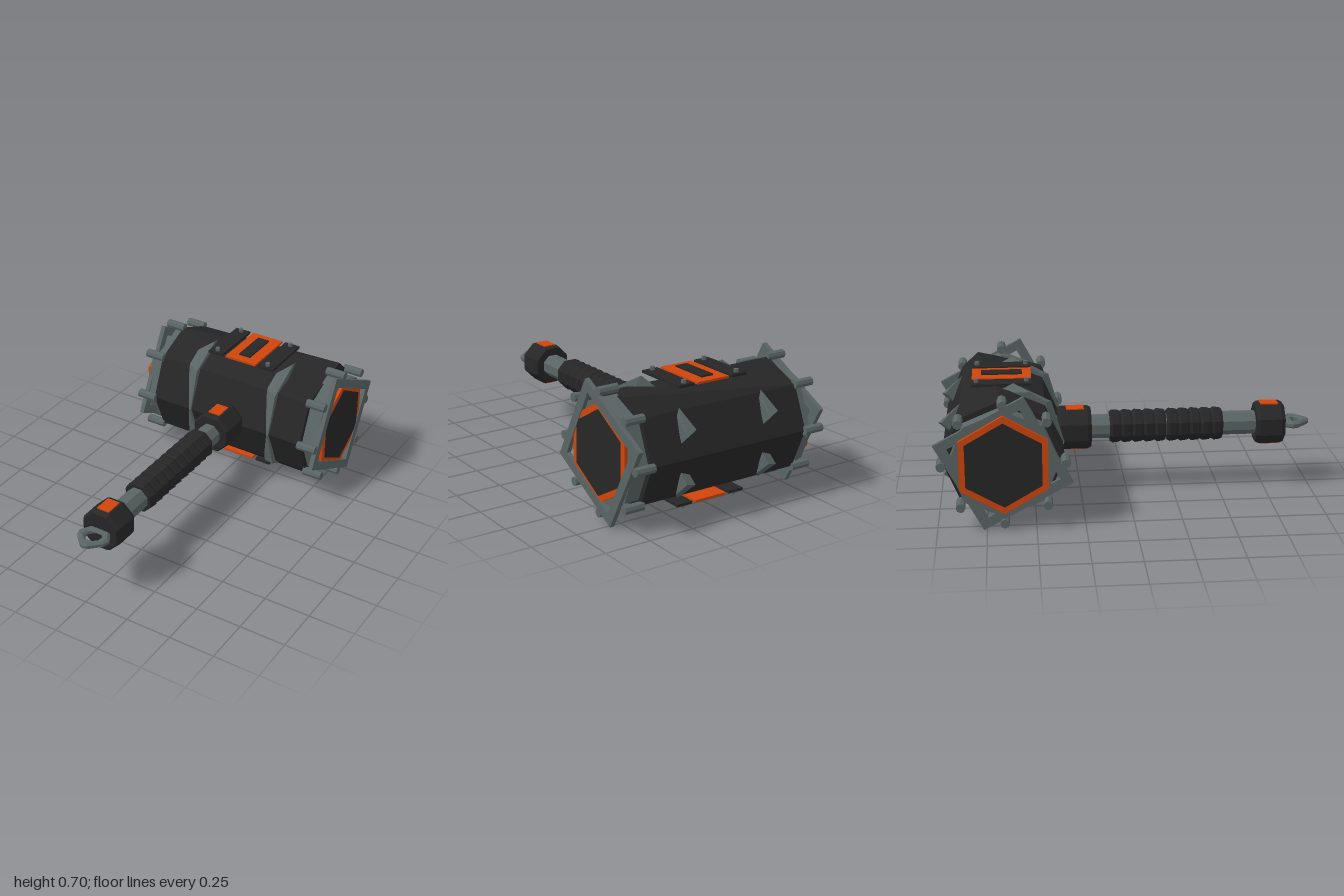
import * as THREE from 'three';
import { ConvexGeometry } from 'three/addons/geometries/ConvexGeometry.js';

const CY = 0.352, CZ = -0.66; // centre line of the head

export function createModel() {
  const model = new THREE.Group();
  model.name = 'warHammer';
  const material = (name, color) => {
    const m = new THREE.MeshStandardMaterial({ color, flatShading: true });
    m.name = name;
    return m;
  };
  const black = material('black iron', 0x262626);
  const steel = material('grey steel', 0x5a6464);
  const orange = material('orange enamel', 0xd0450c);

  const add = (name, geometry, mat, x = 0, y = 0, z = 0) => {
    const mesh = new THREE.Mesh(geometry, mat);
    mesh.name = name;
    mesh.position.set(x, y, z);
    model.add(mesh);
    return mesh;
  };
  const box = (name, mat, w, h, d, x, y, z) => add(name, new THREE.BoxGeometry(w, h, d), mat, x, y, z);

  // Regular polygon corners, phase in degrees
  const ngon = (r, n, phase) => Array.from({ length: n }, (_, i) => {
    const a = THREE.MathUtils.degToRad(phase) + (i / n) * Math.PI * 2;
    return new THREE.Vector2(r * Math.cos(a), r * Math.sin(a));
  });
  // Polygon plate or ring across the head's axis, from x0 to x1
  const plateX = (name, mat, r, n, phase, x0, x1, hole = 0) => {
    const shape = new THREE.Shape(ngon(r, n, phase));
    if (hole) shape.holes.push(new THREE.Path(ngon(hole, n, phase)));
    const g = new THREE.ExtrudeGeometry(shape, { depth: Math.abs(x1 - x0), bevelEnabled: false });
    g.rotateY(Math.PI / 2);
    return add(name, g, mat, Math.min(x0, x1), CY, CZ);
  };
  // Faceted turned part along z; profile is [radius, z] pairs
  const turnedZ = (name, mat, profile, sides = 8) => {
    const pts = profile.map(([r, z]) => new THREE.Vector2(r, z));
    const g = new THREE.LatheGeometry(pts, sides, Math.PI / sides).rotateX(Math.PI / 2);
    return add(name, g, mat, 0, CY, 0);
  };

  // Head: eight-sided block, ridges slightly skewed at one end
  const corners = [];
  for (const x of [-0.47, 0.47]) {
    ngon(0.31, 8, 0).forEach((p, i) => {
      const skew = x > 0 && i % 4 === 2;
      const s = Math.sign(p.y);
      corners.push(skew ? new THREE.Vector3(x, 0.3 * s, -0.13 * s) : new THREE.Vector3(x, p.y, p.x));
    });
  }
  add('headBlock', new ConvexGeometry(corners), black, 0, CY, CZ);

  // Striking ends: steel collar, pegs, square frame, orange rim, black face
  for (const s of [-1, 1]) {
    const frameOut = s > 0 ? 0.572 : 0.55;
    plateX('endCollar', steel, 0.28, 8, 0, s * 0.46, s * 0.55);
    plateX('squareFrame', steel, 0.364, 4, 107, s * (frameOut - 0.025), s * frameOut, 0.295);
    plateX('orangeRim', orange, 0.258, 6, 90, s * 0.54, s * 0.567, 0.2);
    plateX('strikingFace', black, 0.222, 6, 90, s * 0.54, s * 0.57);
    for (const p of ngon(0.311, 8, 0)) {
      const peg = new THREE.CylinderGeometry(0.024, 0.024, 0.11, 8).rotateZ(Math.PI / 2);
      add('endPeg', peg, steel, s * 0.515, CY + p.y, CZ + p.x);
    }
  }

  // Steel spines hugging the front and back of the head
  const spine = (name, x, points, flip) => {
    const g = new ConvexGeometry(points.map(([px, py, pz]) => new THREE.Vector3(px, py * flip, pz)));
    add(name, g, steel, x, CY, CZ);
  };
  const frontSpine = [
    [0.028, 0, 0.318], [0.018, 0, 0.318], [0.03, 0, 0.28],
    [0.03, 0.22, 0.255], [-0.035, 0.235, 0.225], [-0.035, 0.17, 0.235],
    [0.03, 0.322, 0.06], [-0.03, 0.29, 0.14], [0.0, 0.28, -0.04],
  ];
  const backSpine = [
    [0.03, 0.07, -0.275], [-0.03, 0.09, -0.26], [0.03, 0.12, -0.33],
    [-0.035, 0.14, -0.31], [0.0, 0.23, -0.215], [0.03, 0.2, -0.24],
  ];
  for (const x of [-0.25, 0.25]) {
    for (const flip of [-1, 1]) {
      spine('frontSpine', x, frontSpine, flip);
      spine('backSpine', x, backSpine, flip);
    }
  }

  // Ornament plates above and below the head
  for (const s of [-1, 1]) {
    const at = (h) => CY + s * h;
    box('orangePlate', orange, 0.19, 0.012, 0.31, 0, at(0.307), CZ);
    box('plateInset', black, 0.07, 0.008, 0.215, 0, at(0.318), CZ);
    for (const side of [-1, 1]) {
      box('sidePlate', black, 0.09, 0.014, 0.31, side * 0.16, at(0.307), CZ);
      for (const dz of [-0.13, 0.13]) {
        add('plateBolt', new THREE.CylinderGeometry(0.013, 0.013, 0.024, 6), steel, side * 0.16, at(0.32), CZ + dz);
      }
    }
  }

  // Handle: steel shaft with ribbed grips
  turnedZ('shaft', steel, [[0, -0.4], [0.064, -0.4], [0.064, 0.75], [0, 0.75]]);
  for (const start of [-0.09, 0.218]) {
    const profile = [[0.05, start]];
    const ribs = 5, step = 0.302 / ribs;
    for (let i = 0; i < ribs; i++) {
      const z = start + i * step;
      profile.push([0.08, z], [0.09, z + step * 0.25], [0.086, z + step * 0.8], [0.08, z + step]);
    }
    profile.push([0.05, start + 0.302]);
    turnedZ('grip', black, profile);
  }

  // Collar at the head and pommel, each with orange inlays
  for (const [name, z0, z1] of [['headSocket', -0.37, -0.19], ['pommel', 0.7, 0.855]]) {
    turnedZ(name, black, [
      [0, z0], [0.107, z0], [0.117, z0 + 0.02], [0.117, z1 - 0.02], [0.107, z1], [0, z1],
    ]);
    const mid = name === 'pommel' ? 0.775 : -0.275;
    for (const s of [-1, 1]) box('orangeInlay', orange, 0.07, 0.012, 0.095, 0, CY + s * 0.108, mid);
  }

  // Pointed lanyard eye at the end of the pommel
  const eye = new THREE.Shape([
    [-0.055, 0.845], [0.055, 0.845], [0.09, 0.9], [0.08, 0.935], [0.02, 0.995], [0, 1.0],
    [-0.02, 0.995], [-0.08, 0.935], [-0.09, 0.9],
  ].map(([x, z]) => new THREE.Vector2(x, z)));
  eye.holes.push(new THREE.Path(ngon(0.044, 8, 22.5).map((p) => new THREE.Vector2(p.x, p.y + 0.907))));
  const eyeGeometry = new THREE.ExtrudeGeometry(eye, {
    depth: 0.016, bevelEnabled: true, bevelThickness: 0.01, bevelSize: 0.012, bevelOffset: -0.012, bevelSegments: 1,
  });
  eyeGeometry.rotateX(Math.PI / 2);
  add('lanyardEye', eyeGeometry, steel, 0, CY + 0.008, 0);

  return model;
}
